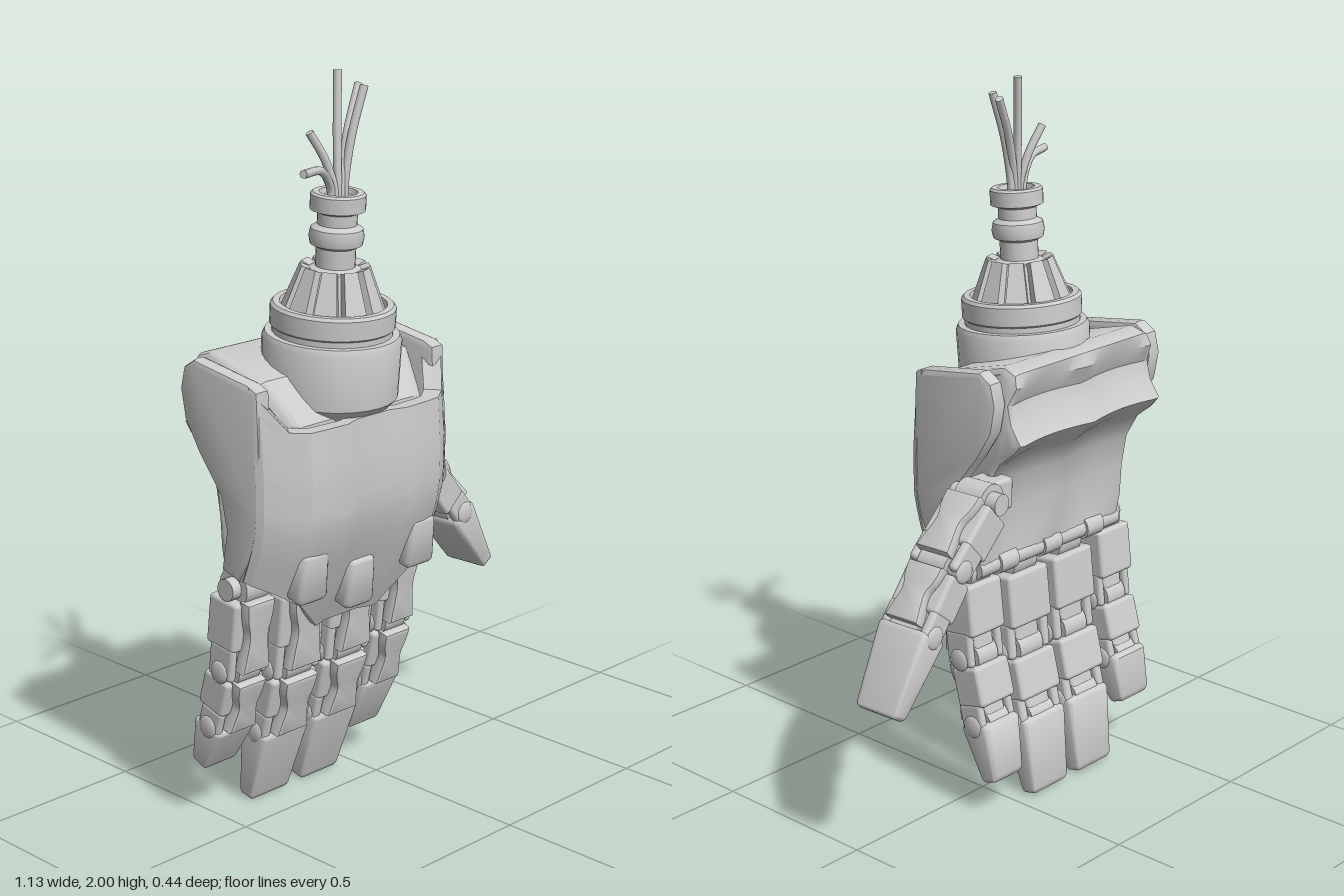
import * as THREE from 'three';
import { toCreasedNormals } from 'three/addons/utils/BufferGeometryUtils.js';
import { RoundedBoxGeometry } from 'three/addons/geometries/RoundedBoxGeometry.js';

const CX = -0.21; // centre line of the palm
const { lerp, clamp } = THREE.MathUtils;

export function createModel() {
  const metal = new THREE.MeshStandardMaterial({ color: 0xcccccc });
  metal.name = 'light grey metal';
  const model = new THREE.Group();
  model.name = 'roboticHand';

  const add = (parent, name, geo, x = 0, y = 0, z = 0, rx = 0) => {
    const m = new THREE.Mesh(geo, metal);
    m.name = name;
    m.position.set(x, y, z);
    m.rotation.x = rx;
    parent.add(m);
    return m;
  };
  // Move every vertex by a rule, then rebuild the normals
  const deform = (geo, rule) => {
    const p = geo.attributes.position, v = new THREE.Vector3();
    for (let i = 0; i < p.count; i++) {
      rule(v.fromBufferAttribute(p, i));
      p.setXYZ(i, v.x, v.y, v.z);
    }
    return toCreasedNormals(geo, 0.6);
  };
  const block = (w, h, d, r = 0.012) => new RoundedBoxGeometry(w, h, d, 2, r);
  const rodX = (r, len, n = 20) => new THREE.CylinderGeometry(r, r, len, n).rotateZ(Math.PI / 2);
  const shapeOf = pts => new THREE.Shape(pts.map(p => new THREE.Vector2(...p)));
  const extrude = (shape, depth, b, steps = 1) => new THREE.ExtrudeGeometry(shape, {
    depth: depth - 2 * b, steps, bevelSize: b, bevelThickness: b, bevelOffset: -b, bevelSegments: 2,
  }).translate(0, 0, b - depth / 2);
  // Extrude a (z, y) outline along x
  const extrudeX = (pts, width, b, steps) => extrude(shapeOf(pts), width, b, steps).rotateY(-Math.PI / 2);

  // ---- Palm body: side outline, narrowed to the front and top, with two shallow hollows behind
  const palm = extrudeX([
    [0.15, 1.13], [0.06, 1.24], [-0.13, 1.29], [-0.175, 1.275], [-0.19, 1.24], [-0.168, 1.19],
    [-0.18, 1.14], [-0.215, 1.09], [-0.19, 1.06], [-0.14, 1.02], [-0.1, 0.95], [-0.085, 0.86],
    [-0.08, 0.77], [-0.065, 0.7], [0.05, 0.69], [0.13, 0.8], [0.16, 0.95],
  ], 0.59, 0.02, 16);
  add(model, 'palm', deform(palm, v => {
    if (v.z < -0.05 && v.y < 1.25 && v.y > 0.72) v.z += 0.02 * Math.abs(Math.sin(v.x * Math.PI / 0.295));
    v.x *= 1 - 0.22 * clamp((v.z - 0.03) / 0.12, 0, 1);
    v.x *= 1 - 0.08 * clamp((v.y - 1.2) / 0.09, 0, 1);
  }), CX);
  add(model, 'knuckleRod', rodX(0.027, 0.58), CX, 0.7, -0.045);
  for (const x of [-0.18, 0, 0.18]) add(model, 'knuckleRodSleeve', rodX(0.034, 0.07), CX + x, 0.7, -0.045);

  // ---- Armour over the back of the hand: columns of [offset, z, top, bottom]
  const half = [
    [0.345, 0.115, 1.25, 0.73], [0.335, 0.135, 1.22, 0.72], [0.28, 0.18, 1.135, 0.69],
    [0.235, 0.208, 1.13, 0.66], [0.2, 0.212, 1.13, 0.64], [0.11, 0.217, 1.13, 0.55],
    [0.06, 0.2, 1.13, 0.55],
  ];
  const cols = [...half.map(([u, ...c]) => [-u, ...c]), ...half.slice().reverse()];
  const slope = [[1.3, -0.025], [1.13, -0.004], [1.0, 0.005], [0.88, 0.002], [0.8, -0.02], [0.65, -0.08], [0.5, -0.15]];
  const drift = y => {
    const i = Math.max(1, slope.findIndex(s => s[0] <= y));
    const [a, b] = [slope[i - 1], slope[i]];
    return lerp(a[1], b[1], (a[0] - y) / (a[0] - b[0]));
  };
  const rows = 12, pos = [], idx = [], n = cols.length * 2;
  for (let r = 0; r <= rows; r++) {
    const ring = cols.map(([u, z, top, bot]) => {
      const y = lerp(top, bot, r / rows);
      return [u, y, z + drift(y)];
    });
    const inner = ring.map(([u, y, z]) => [u * 0.9, y, z - 0.04]).reverse();
    pos.push(...ring.flat(), ...inner.flat());
  }
  for (let r = 0; r < rows; r++) for (let i = 0; i < n; i++) {
    const a = r * n + i, b = r * n + (i + 1) % n;
    idx.push(a, a + n, b, b, a + n, b + n);
  }
  for (let i = 0; i < cols.length - 1; i++) {
    const j = n - 1 - i, e = rows * n;
    idx.push(i, i + 1, j, i + 1, j - 1, j, e + i, e + j, e + i + 1, e + i + 1, e + j, e + j - 1);
  }
  const shell = new THREE.BufferGeometry();
  shell.setAttribute('position', new THREE.Float32BufferAttribute(pos, 3));
  shell.setIndex(idx);
  add(model, 'backArmour', toCreasedNormals(shell.toNonIndexed(), 0.4), CX);

  // Side plates, and knuckle guards that fade into the armour at the top
  const side = [
    [0.125, 1.24], [0.09, 1.255], [-0.11, 1.285], [-0.15, 1.26], [-0.165, 1.2], [-0.15, 1.12],
    [-0.1, 1.04], [-0.02, 0.94], [0, 0.85], [-0.02, 0.74], [0.05, 0.72], [0.11, 0.82], [0.13, 0.9], [0.13, 1.1],
  ];
  for (const s of [-1, 1]) add(model, 'sidePlate', toCreasedNormals(extrudeX(side, 0.05, 0.015), 0.6), CX + s * 0.32);
  for (const [u, y, z] of [[-0.2, 0.735, 0.158], [0, 0.665, 0.128], [0.2, 0.735, 0.158]]) {
    add(model, 'knuckleGuard', deform(block(0.1, 0.14, 0.08, 0.02), v => {
      v.x *= 1 - v.y;
      if (v.z > 0) v.z -= 0.02 * clamp(v.y / 0.05, 0, 1);
    }), CX + u, y, z, 0.3);
  }

  // ---- Wrist, leaning slightly forward
  const wrist = new THREE.Group();
  wrist.name = 'wrist';
  wrist.position.set(CX + 0.003, 1.1, 0.027);
  wrist.rotation.x = 0.07;
  model.add(wrist);
  const lathe = (name, pts, seg = 32) => add(wrist, name,
    toCreasedNormals(new THREE.LatheGeometry(pts.map(p => new THREE.Vector2(...p)), seg), 0.6));
  lathe('wristCollar', [[0, 0], [0.13, 0], [0.18, 0.06], [0.183, 0.21], [0.176, 0.225], [0.158, 0.225], [0.158, 0.24],
    [0.164, 0.245], [0.164, 0.295], [0.157, 0.303], [0.14, 0.303], [0.135, 0.285], [0, 0.285]]);
  lathe('wristCone', [[0, 0.28], [0.112, 0.28], [0.075, 0.39], [0.055, 0.4], [0, 0.4]]);
  lathe('wristStem', [[0.052, 0.39], [0.052, 0.45], [0.068, 0.458], [0.072, 0.478], [0.068, 0.5], [0.052, 0.51],
    [0.052, 0.54], [0.072, 0.548], [0.072, 0.588], [0.066, 0.594], [0.05, 0.594], [0.046, 0.58], [0, 0.58]], 24);
  for (let i = 0; i < 10; i++) {
    const fin = new THREE.Group();
    fin.name = 'wristFinMount';
    fin.rotation.y = (i + 0.5) * Math.PI / 5;
    wrist.add(fin);
    const g = deform(new THREE.BoxGeometry(0.05, 0.12, 0.04).toNonIndexed(), v => { v.x *= 1 - v.y * 4; });
    add(fin, 'wristFin', g, 0, 0.34, 0.092, -0.36);
  }

  // Loose wires
  const ends = [[-0.38, 1.765, 0.12], [-0.29, 1.85, 0.05], [-0.18, 1.995, 0.04], [-0.09, 1.95, 0.025], [-0.125, 1.955, 0.08]];
  ends.forEach(([x, y, z], i) => {
    const x0 = CX + (i - 2) * 0.012, bend = i === 0 ? 0.85 : 0.5;
    const path = new THREE.CatmullRomCurve3([
      new THREE.Vector3(x0, 1.66, 0.068), new THREE.Vector3(x0, 1.7, 0.068),
      new THREE.Vector3(lerp(x0, x, 0.35), lerp(1.7, y, bend), lerp(0.068, z, 0.4)), new THREE.Vector3(x, y, z),
    ]);
    add(model, 'wire', new THREE.TubeGeometry(path, 20, 0.011, 8));
    const cap = add(model, 'wireEnd', new THREE.CircleGeometry(0.011, 8), x, y, z);
    cap.quaternion.setFromUnitVectors(new THREE.Vector3(0, 0, 1), path.getTangent(1));
  });

  // ---- Fingers: joints are [z, y], each link hangs from its joint
  const waist = (w, h) => {
    const s = new THREE.Shape();
    s.moveTo(-w * 0.34, 0);
    s.lineTo(w * 0.34, 0);
    s.bezierCurveTo(w * 0.34, -h * 0.4, w * 0.2, -h * 0.35, w * 0.25, -h * 0.6);
    s.lineTo(w * 0.33, -h);
    s.lineTo(-w * 0.33, -h);
    s.lineTo(-w * 0.25, -h * 0.6);
    s.bezierCurveTo(-w * 0.2, -h * 0.35, -w * 0.34, -h * 0.4, -w * 0.34, 0);
    return s;
  };
  const digit = (name, joints, w, t) => {
    const g = new THREE.Group();
    g.name = name;
    joints.slice(0, -1).forEach(([z, y], i) => {
      const [z2, y2] = joints[i + 1];
      const L = Math.hypot(z2 - z, y2 - y), d = t * (1 - 0.1 * i);
      const link = new THREE.Group();
      link.name = i === 2 ? 'fingertip' : 'fingerLink';
      link.position.set(0, y, z);
      link.rotation.x = Math.atan2(z - z2, y - y2);
      g.add(link);
      add(link, 'jointPin', rodX(0.03, w * 0.96), 0, 0, 0);
      add(link, 'jointBarrel', rodX(d * 0.42, w * 0.55), 0, 0, 0);
      if (i === 2) {
        // Tapered tip that thins towards its end
        const h = L + 0.005;
        add(link, 'tip', deform(block(w, h, d, 0.016), v => {
          const k = clamp(0.5 - v.y / h, 0, 1);
          v.x *= 1 - 0.16 * k * k;
          v.z = v.z * (1 - 0.55 * k * k) - 0.012 * Math.sin(k * Math.PI);
        }), 0, 0.005 - h / 2, 0);
        return;
      }
      add(link, 'linkBody', block(w * 0.96, L * 0.6, d * 0.85), 0, -L * 0.42, -0.008);
      add(link, 'linkCore', block(w * 0.55, L, d * 0.6), 0, -L * 0.5, 0);
      add(link, 'linkPlate', toCreasedNormals(extrude(waist(w, L * 0.85), 0.04, 0.008), 0.6), 0, -L * 0.1, d * 0.42);
      for (const s of [-1, 1]) {
        add(link, 'forkCheek', block(w * 0.17, L * 0.42, d * 0.72), s * w * 0.4, -L * 0.87, 0);
        add(link, 'jointCap', new THREE.SphereGeometry(0.032, 16, 10).scale(0.3, 1, 1), s * w * 0.475, -L, 0);
      }
    });
    return g;
  };
  const fingers = [
    ['littleFinger', -0.49, 0.14, [0.69, 0.455, 0.285, 0.155]],
    ['ringFinger', -0.31, 0.17, [0.67, 0.415, 0.22, 0.005]],
    ['middleFinger', -0.12, 0.17, [0.67, 0.415, 0.22, 0.005]],
    ['indexFinger', 0.06, 0.14, [0.69, 0.445, 0.26, 0.1]],
  ];
  for (const [name, x, w, ys] of fingers) {
    const zs = [0.0, -0.03, -0.08, -0.13];
    const f = digit(name, ys.map((y, i) => [zs[i], y]), w, 0.125);
    f.position.x = x;
    model.add(f);
  }

  // ---- Thumb: the same build turned to bend sideways
  const thumb = digit('thumb', [[0.14, 0.94], [0.295, 0.8], [0.415, 0.655], [0.545, 0.465]], 0.165, 0.12);
  thumb.rotation.y = Math.PI / 2 + 0.06;
  thumb.position.z = -0.105;
  model.add(thumb);
  add(model, 'thumbMount', block(0.1, 0.09, 0.09), 0.09, 0.94, -0.105);

  return model;
}
